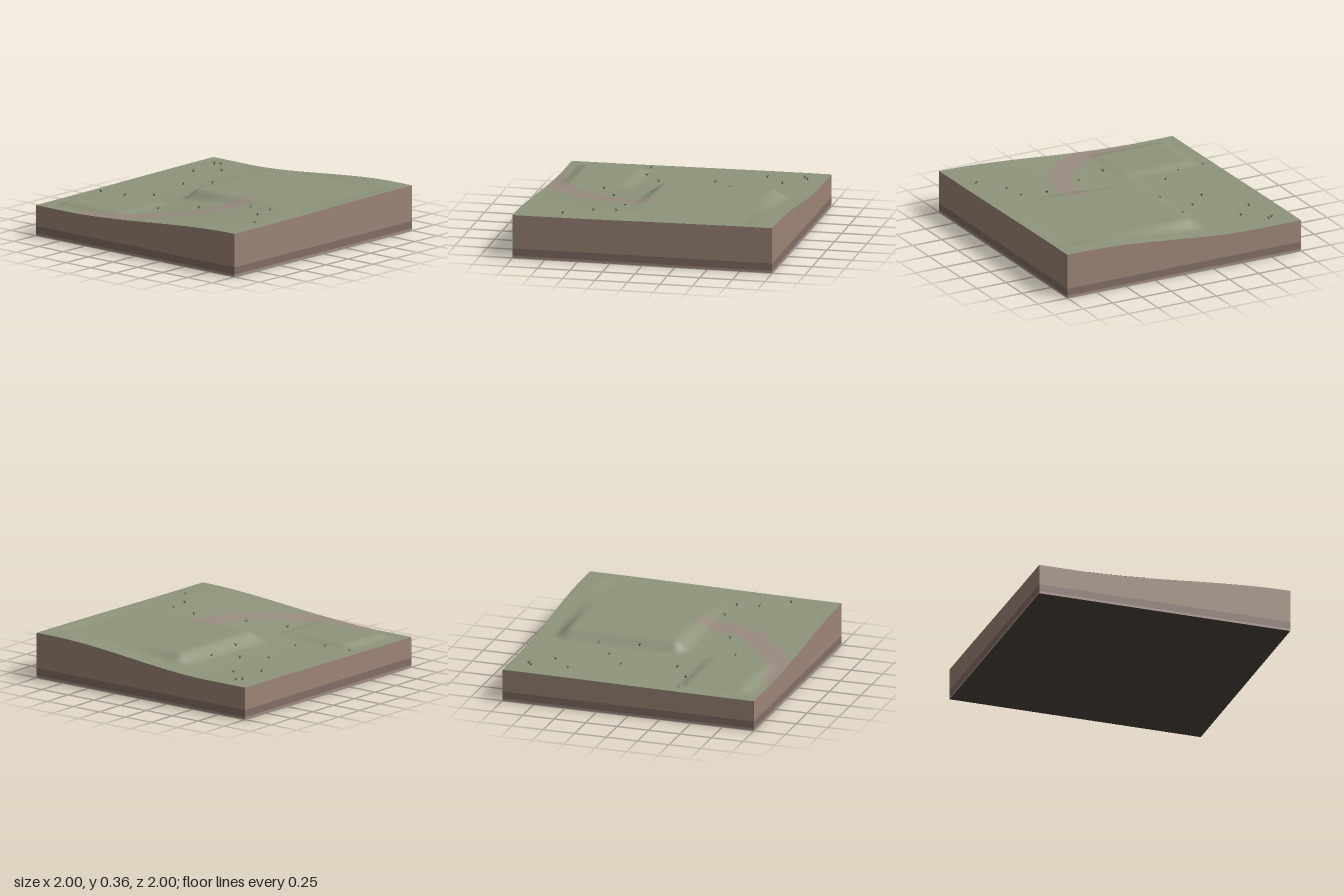
import * as THREE from 'three';
import { mergeGeometries } from 'three/addons/utils/BufferGeometryUtils.js';

const { smoothstep, lerp, clamp } = THREE.MathUtils;
const SEG = 100;

// Level pads cut into or raised from the hillside
const PADS = [
  { x0: -0.16, x1: 0.85, z0: -0.73, z1: 0.08, y: 0.335, fall: 0.14 },
  { x0: -0.8, x1: -0.29, z0: 0.45, z1: 0.83, y: 0.267, fall: 0.11 },
];

// Height of the ground: a soft hillside rising to +x, blended into the pads
function height(x, z) {
  const front = 0.235 + 0.098 * smoothstep(x, -0.7, 1);
  const back = 0.248 + 0.101 * smoothstep(x, -0.65, 0.85);
  let y = lerp(back, front, smoothstep(z, -1, 1));
  for (const p of PADS) {
    const dx = Math.max(p.x0 - x, 0, x - p.x1);
    const dz = Math.max(p.z0 - z, 0, z - p.z1);
    y = lerp(y, p.y, 1 - smoothstep(Math.hypot(dx, dz), 0, p.fall));
  }
  return y;
}

// Grid surface from a function (u, v) => [x, y, z]
function surface(nu, nv, fn) {
  const pos = [], idx = [];
  for (let j = 0; j <= nv; j++) {
    for (let i = 0; i <= nu; i++) pos.push(...fn(i / nu, j / nv));
  }
  for (let j = 0; j < nv; j++) {
    for (let i = 0; i < nu; i++) {
      const a = j * (nu + 1) + i, b = a + 1, c = a + nu + 1, d = c + 1;
      idx.push(a, c, b, b, c, d);
    }
  }
  const g = new THREE.BufferGeometry();
  g.setAttribute('position', new THREE.Float32BufferAttribute(pos, 3));
  g.setIndex(idx);
  g.computeVertexNormals();
  return g;
}

function part(name, geometry, color, options = {}) {
  const mesh = new THREE.Mesh(geometry, new THREE.MeshStandardMaterial({ color, ...options }));
  mesh.name = name;
  return mesh;
}

// One earth layer around all four sides; bottom and top are heights or height functions
function wallBand(low, high) {
  const sides = [
    (t) => [t, 1],
    (t) => [1, -t],
    (t) => [-t, -1],
    (t) => [-1, t],
  ];
  return mergeGeometries(sides.map((side) => surface(SEG, 1, (u, v) => {
    const [x, z] = side(u * 2 - 1);
    const top = typeof high === 'function' ? high(x, z) : high;
    return [x, v ? low : top, z];
  })));
}

// Footpath draped just above the ground
function pathGeometry() {
  const curve = new THREE.CatmullRomCurve3([
    [-0.6, 1.02], [-0.3, 0.97], [-0.08, 0.84], [0.22, 0.54], [0.28, 0.36], [0.31, 0.22], [0.34, 0.07],
  ].map(([x, z]) => new THREE.Vector3(x, 0, z)));
  return surface(10, 70, (u, v) => {
    const p = curve.getPoint(v), t = curve.getTangent(v);
    const w = (u - 0.5) * lerp(0.2, 0.15, v);
    const x = p.x - t.z * w;
    const z = clamp(p.z + t.x * w, -1, 1);
    return [x, height(x, z) + 0.0015, z];
  });
}

// Small tuft: one upright blade with leaning blades around it
function tuftGeometry() {
  const blades = [];
  for (let i = 0; i < 5; i++) {
    const h = i ? 0.032 : 0.024;
    const blade = new THREE.ConeGeometry(0.003, h, 3).translate(0, h / 2, 0);
    if (i) blade.rotateZ(-0.5).rotateY(i * Math.PI / 2 + 0.3);
    blades.push(blade);
  }
  return mergeGeometries(blades);
}

export function createModel() {
  const group = new THREE.Group();
  group.name = 'terrainTile';

  // Grass surface
  group.add(part('grassGround', surface(SEG, SEG, (u, v) => {
    const x = u * 2 - 1, z = v * 2 - 1;
    return [x, height(x, z), z];
  }), 0x8f957b));
  group.add(part('footpath', pathGeometry(), 0x998c80, { side: THREE.DoubleSide }));

  // Earth layers and underside
  group.add(part('soilLayer', wallBand(0.075, height), 0x9c8576));
  group.add(part('darkSoilLayer', wallBand(0.018, 0.075), 0x836e67));
  group.add(part('baseLayer', wallBand(0, 0.018), 0xa18d82));
  group.add(part('underside', new THREE.PlaneGeometry(2, 2).rotateX(Math.PI / 2), 0x4a443e));

  // Scattered grass tufts
  const spots = [
    [-0.91, 0.37], [-0.69, 0.35], [-0.51, 0.22], [-0.8, -0.55], [-0.84, -0.83], [-0.8, -0.86],
    [-0.65, -0.7], [-0.59, -0.2], [-0.43, -0.35], [-0.27, -0.49], [-0.25, -0.17], [-0.16, 0.56],
    [0.12, 0.42], [0.49, 0.25], [0.7, 0.27], [0.73, 0.44], [0.88, 0.64],
  ];
  const tuft = tuftGeometry();
  const tufts = new THREE.Group();
  tufts.name = 'grassTufts';
  spots.forEach(([x, z], i) => {
    const mesh = part('grassTuft', tuft, 0x59614a, { flatShading: true });
    mesh.position.set(x, height(x, z) - 0.002, z);
    mesh.rotation.y = i * 1.3;
    tufts.add(mesh);
  });
  group.add(tufts);
  return group;
}
